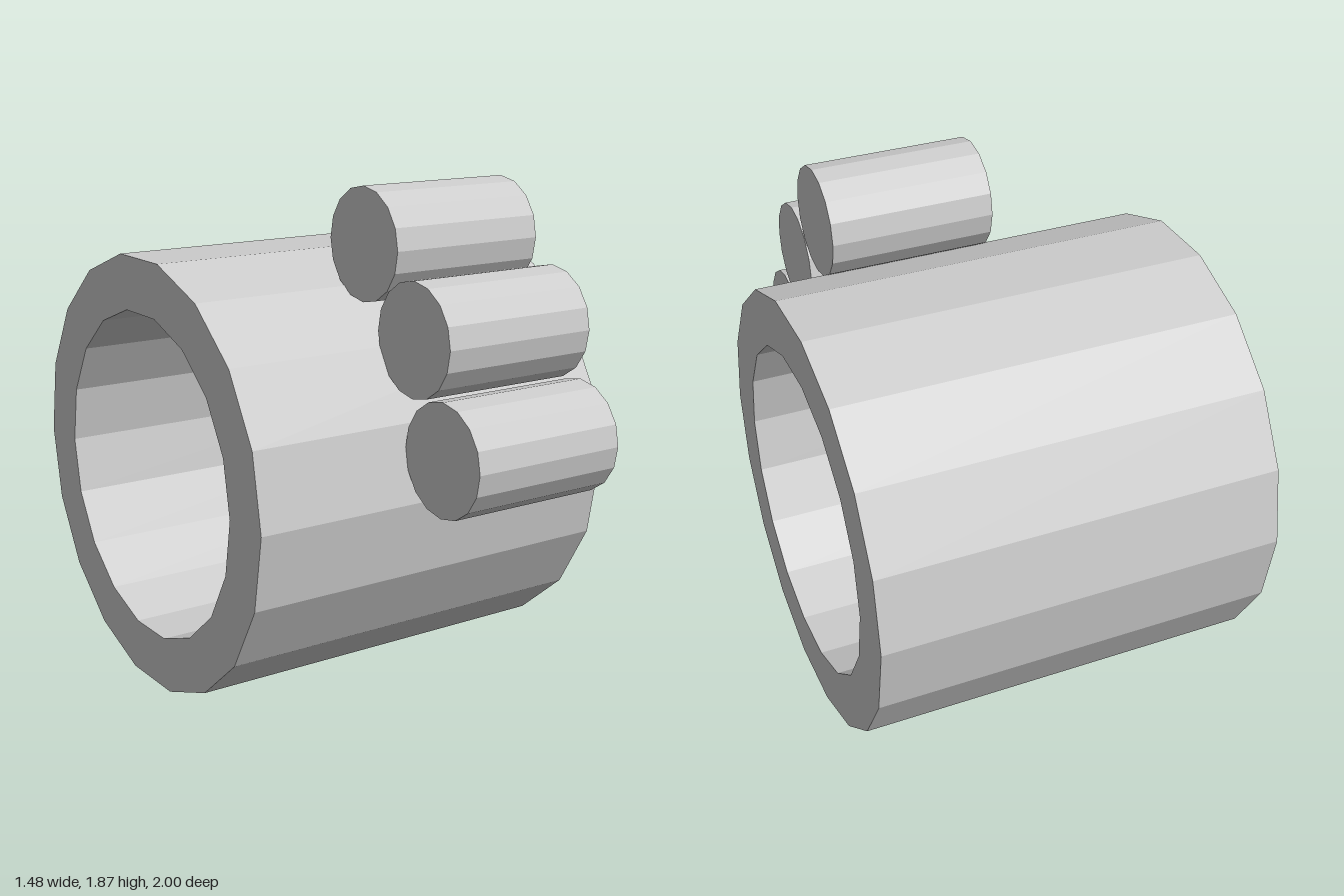
import * as THREE from 'three';

const material = new THREE.MeshStandardMaterial({ color: 0xcccccc, flatShading: true });

// Adds a part whose geometry is built around y, turned to lie along x.
function addAlongX(group, name, geometry, x, y, z) {
  const mesh = new THREE.Mesh(geometry.rotateZ(Math.PI / 2), material);
  mesh.name = name;
  mesh.position.set(x, y, z);
  group.add(mesh);
}

export function createModel() {
  const group = new THREE.Group();
  group.name = 'tubeWithRollers';

  // Thick-walled 18-sided tube: closed rectangular wall section, turned
  const outer = 0.815, inner = 0.612, half = 0.742;
  const wall = [[outer, -half], [outer, half], [inner, half], [inner, -half], [outer, -half]]
    .map(([r, h]) => new THREE.Vector2(r, h));
  addAlongX(group, 'tube', new THREE.LatheGeometry(wall, 18), 0, 0.803, -0.185);

  // Three solid 16-sided rollers resting on the upper front of the tube
  [[1.0, 0.797], [1.382, 0.63], [1.67, 0.335]].forEach(([y, z], i) => {
    addAlongX(group, `roller${i + 1}`, new THREE.CylinderGeometry(0.203, 0.203, 0.61, 16), 0.168, y, z);
  });

  return group;
}
